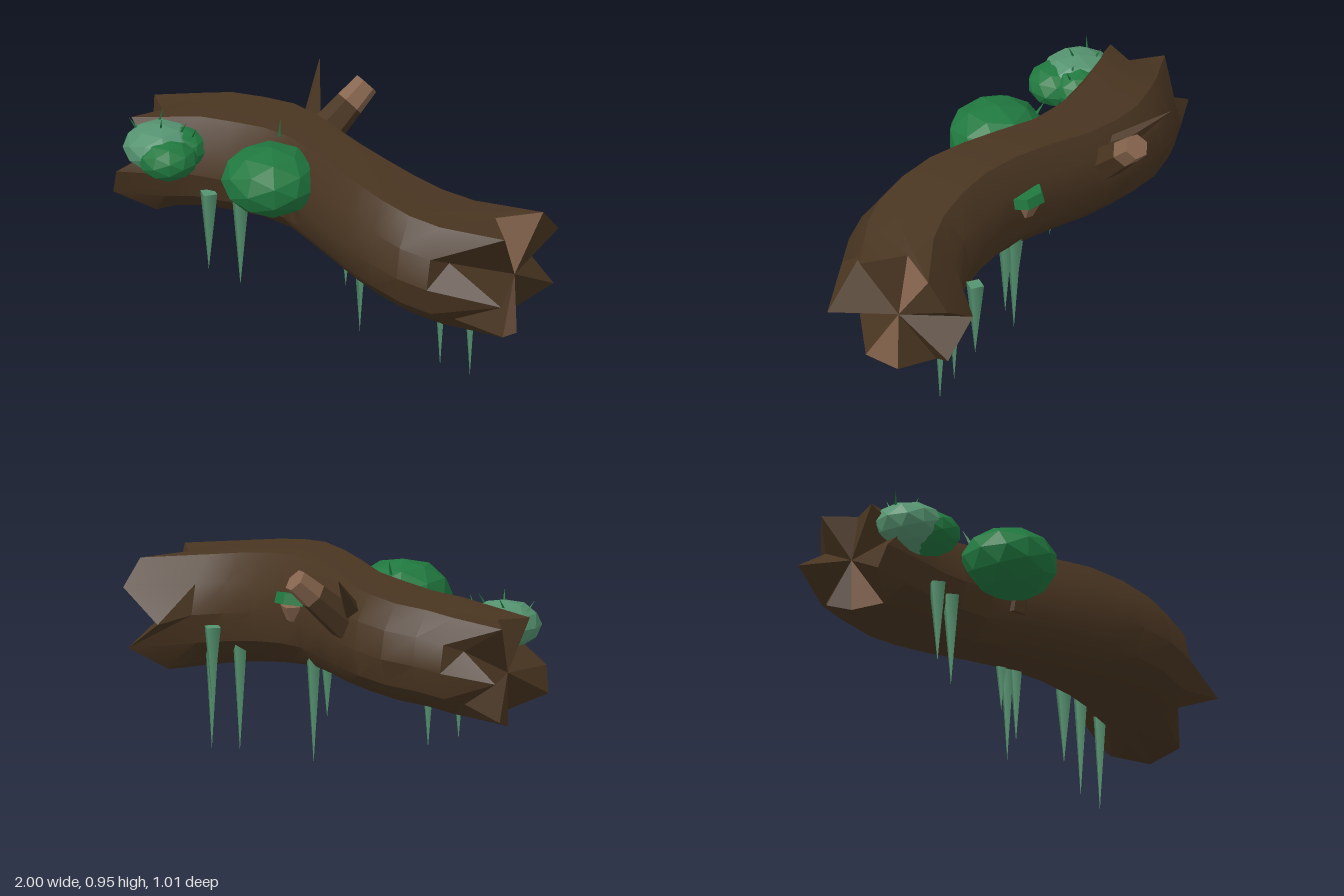
import * as THREE from 'three';
import { toCreasedNormals } from 'three/addons/utils/BufferGeometryUtils.js';

const mat = (name, color) => {
  const m = new THREE.MeshStandardMaterial({ color });
  m.name = name;
  return m;
};

export function createModel() {
  const group = new THREE.Group();
  const bark = mat('bark brown', 0x493521);
  const wood = mat('light wood', 0x86654e);
  const moss = mat('moss green', 0x20783f);
  const pale = mat('pale green', 0x559370);
  const V = (x, y, z) => new THREE.Vector3(x, y, z);

  const add = (name, geometry, material) => {
    const mesh = new THREE.Mesh(geometry, material);
    mesh.name = name;
    group.add(mesh);
    return mesh;
  };
  const flat = (g) => {
    const f = g.index ? g.toNonIndexed() : g;
    f.computeVertexNormals();
    return f;
  };
  const fromTriangles = (points) => {
    const g = new THREE.BufferGeometry().setFromPoints(points);
    g.computeVertexNormals();
    return g;
  };
  // Tapered prism between two points
  const limb = (name, a, b, ra, rb, sides, material) => {
    const dir = b.clone().sub(a);
    const mesh = add(name, flat(new THREE.CylinderGeometry(rb, ra, dir.length(), sides)), material);
    mesh.position.copy(a).add(b).multiplyScalar(0.5);
    mesh.quaternion.setFromUnitVectors(V(0, 1, 0), dir.normalize());
    return mesh;
  };

  // Log: cross-sections of [x, centre y, centre z, half height, half depth]
  const N = 12;
  const sections = [
    [-0.77, 0.588, -0.14, 0.225, 0.235],
    [-0.65, 0.61, -0.16, 0.225, 0.24],
    [-0.5, 0.62, -0.165, 0.225, 0.243],
    [-0.35, 0.635, -0.145, 0.227, 0.235],
    [-0.2, 0.642, -0.09, 0.23, 0.215],
    [-0.05, 0.648, 0.005, 0.237, 0.21],
    [0.1, 0.65, 0.095, 0.242, 0.215],
    [0.25, 0.643, 0.17, 0.247, 0.23],
    [0.4, 0.625, 0.22, 0.247, 0.245],
    [0.55, 0.602, 0.245, 0.245, 0.258],
    [0.69, 0.58, 0.235, 0.245, 0.265],
  ];
  // Lumpy outline, from the top round through the front
  const lumps = [0.98, 1.12, 1.02, 1, 1, 0.99, 1.02, 0.99, 1, 1, 1.03, 1.1];
  const ring = ([x, y, z, h, d], ends) => lumps.map((r, k) => {
    const a = (k / N) * Math.PI * 2;
    return V(ends ? ends[k] : x, y + r * h * Math.cos(a), z + r * d * Math.sin(a));
  });
  // Splintered ends: x of each rim corner in the same order
  const rightEnds = [-0.87, -0.95, -0.83, -0.97, -1, -0.84, -0.92, -0.95, -0.83, -1, -0.83, -0.97];
  const leftEnds = [0.82, 0.95, 0.74, 1, 0.76, 0.93, 0.92, 0.84, 0.96, 0.79, 0.98, 0.96];
  const rings = [
    ring([0, 0.56, -0.1, 0.22, 0.21], rightEnds),
    ...sections.map((s) => ring(s)),
    ring([0, 0.545, 0.15, 0.25, 0.28], leftEnds),
  ];
  const skin = [];
  for (let i = 0; i < rings.length - 1; i++) {
    for (let k = 0; k < N; k++) {
      const n = (k + 1) % N;
      const [a, b, c, d] = [rings[i][k], rings[i][n], rings[i + 1][k], rings[i + 1][n]];
      skin.push(a, b, c, b, d, c);
    }
  }
  add('log', toCreasedNormals(fromTriangles(skin), 0.5), bark);

  // Broken end faces, with a few splinters of bare wood
  const brokenEnd = (name, rim, centre, flip, bare) => {
    const dark = [], light = [];
    for (let k = 0; k < N; k++) {
      const p = rim[k], q = rim[(k + 1) % N];
      (bare.includes(k) ? light : dark).push(centre, flip ? q : p, flip ? p : q);
    }
    add(name, fromTriangles(dark), bark);
    add(name + 'Splinters', fromTriangles(light), wood);
  };
  brokenEnd('rightEnd', rings[0], V(-0.92, 0.56, -0.1), true, [5]);
  brokenEnd('leftEnd', rings[rings.length - 1], V(0.91, 0.555, 0.15), false, [5, 11]);

  // Snapped branch with a bare tip, and a thorn beside it
  const base = V(-0.24, 0.71, -0.27), tip = V(-0.115, 0.915, -0.465);
  const mid = base.clone().lerp(tip, 0.65);
  limb('branch', base, mid, 0.078, 0.062, 6, bark);
  limb('branchTip', mid, tip, 0.062, 0.053, 6, wood);
  limb('thorn', V(-0.28, 0.77, -0.29), V(-0.36, 0.95, -0.51), 0.045, 0.001, 4, bark);

  // Moss clumps
  const clump = (name, pos, size, material) => {
    const g = new THREE.IcosahedronGeometry(1, 1).scale(...size);
    add(name, flat(g), material).position.set(...pos);
  };
  clump('largeMoss', [-0.2, 0.745, 0.195], [0.208, 0.145, 0.205], moss);
  clump('paleMoss', [-0.775, 0.712, 0.085], [0.158, 0.1, 0.157], pale);
  clump('smallMoss', [-0.708, 0.698, 0.148], [0.126, 0.086, 0.125], moss);
  clump('backMoss', [-0.7, 0.71, 0.045], [0.115, 0.085, 0.115], moss);

  // Small stalks under the moss and the bracket at the back
  limb('mossStalk', V(-0.085, 0.575, 0.15), V(-0.085, 0.7, 0.17), 0.048, 0.05, 6, bark);
  limb('bracketStalk', V(0.145, 0.645, -0.08), V(0.145, 0.71, -0.09), 0.035, 0.055, 6, wood);
  limb('bracketCap', V(0.145, 0.705, -0.09), V(0.145, 0.75, -0.08), 0.08, 0.075, 6, moss);

  // Grass blades on the moss: [x, y, z, lean x, lean z]
  [
    [-0.88, 0.76, 0.09, -0.03, 0.02], [-0.82, 0.78, 0.03, 0.01, -0.03],
    [-0.77, 0.79, 0.1, 0.015, 0.02], [-0.7, 0.77, 0.08, 0.03, -0.02],
    [-0.65, 0.76, 0.06, 0.03, 0.01], [-0.25, 0.86, 0.04, -0.01, -0.03],
  ].forEach(([x, y, z, lx, lz], i) =>
    limb('grassBlade' + (i + 1), V(x, y, z), V(x + lx, y + 0.06, z + lz), 0.008, 0.0005, 3, moss));

  // Hanging spikes: [x, z, tip height]
  [
    [-0.555, 0.08, 0.2], [-0.42, 0.057, 0.15], [0.04, 0.0, 0.23], [0.1, -0.01, 0.03],
    [0.12, 0.02, 0.115], [0.52, 0.073, 0.01], [0.575, -0.045, 0.21], [0.66, 0.075, 0.0],
  ].forEach(([x, z, y], i) => {
    const spike = add('hangingSpike' + (i + 1), new THREE.ConeGeometry(0.04, 0.55 - y, 4), pale);
    spike.rotation.x = Math.PI;
    spike.position.set(x, (0.55 + y) / 2, z);
  });

  return group;
}
